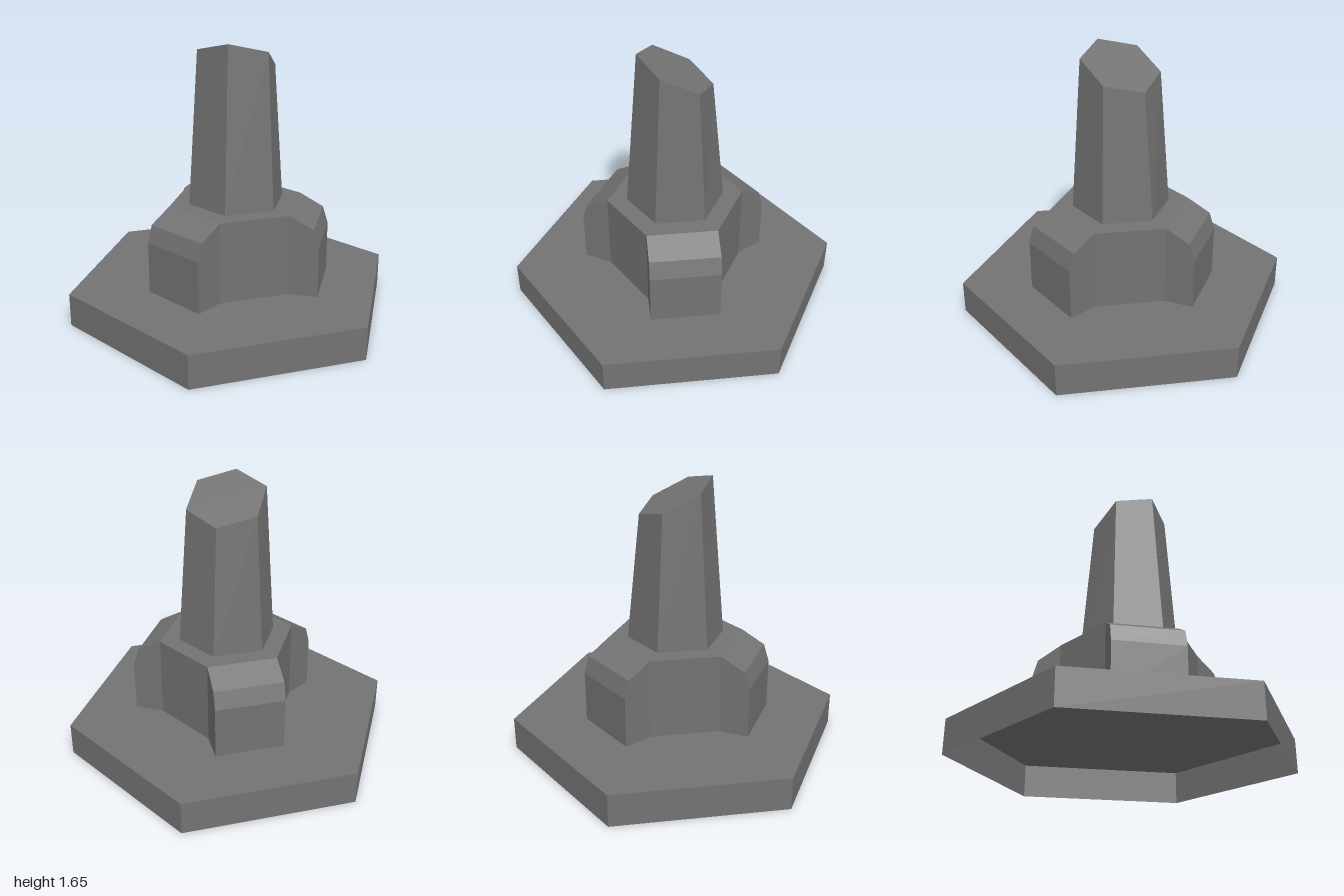
import * as THREE from 'three';
import { mergeGeometries } from 'three/addons/utils/BufferGeometryUtils.js';

// Dark grey stone
const material = new THREE.MeshStandardMaterial({
  color: 0x737373, flatShading: true, side: THREE.DoubleSide,
});

// Six-sided shell with a lid and an open underside, standing on y = 0
function hexShell(topRadius, bottomRadius, height) {
  const walls = new THREE.CylinderGeometry(topRadius, bottomRadius, height, 6, 1, true);
  walls.translate(0, height / 2, 0);
  const lid = new THREE.CircleGeometry(topRadius, 6, Math.PI / 2);
  lid.rotateX(-Math.PI / 2).translate(0, height, 0);
  return mergeGeometries([walls, lid]);
}

function addMesh(parent, name, geometry) {
  const mesh = new THREE.Mesh(geometry, material);
  mesh.name = name;
  parent.add(mesh);
  return mesh;
}

export function createModel() {
  const model = new THREE.Group();
  model.name = 'hexagonalMonument';

  // Hollow base plate
  const baseHeight = 0.2;
  addMesh(model, 'base', hexShell(1, 1, baseHeight));

  // The tower sits slightly off the middle of the base
  const tower = new THREE.Group();
  tower.name = 'tower';
  tower.position.set(0.024, baseHeight, 0);
  model.add(tower);

  // Pedestal core
  const coreRadius = 0.41;
  const coreHeight = 0.49;
  addMesh(tower, 'pedestal', hexShell(coreRadius, coreRadius, coreHeight));

  // Three buttresses with chamfered tops, on every other side of the pedestal
  const inner = coreRadius * Math.cos(Math.PI / 6);
  const profile = new THREE.Shape([
    [inner, 0], [0.53, 0], [0.53, 0.31], [0.497, 0.413], [inner, coreHeight],
  ].map(([x, y]) => new THREE.Vector2(x, y)));
  const buttress = new THREE.ExtrudeGeometry(profile, { depth: coreRadius, bevelEnabled: false });
  buttress.translate(0, 0, -coreRadius / 2);
  for (let i = 0; i < 3; i++) {
    addMesh(tower, `buttress${i + 1}`, buttress).rotation.y = i * Math.PI * 2 / 3;
  }

  // Tapered spire whose top ring is tilted down toward the back
  const spireHeight = 0.858;
  const tilt = 0.454;
  const spire = hexShell(0.235, 0.291, spireHeight);
  const pos = spire.attributes.position;
  for (let i = 0; i < pos.count; i++) {
    if (pos.getY(i) < spireHeight / 2) continue;
    const z = pos.getZ(i);
    pos.setY(i, spireHeight + z * Math.sin(tilt));
    pos.setZ(i, z * Math.cos(tilt));
  }
  spire.computeVertexNormals();
  addMesh(tower, 'spire', spire).position.y = coreHeight;

  return model;
}
